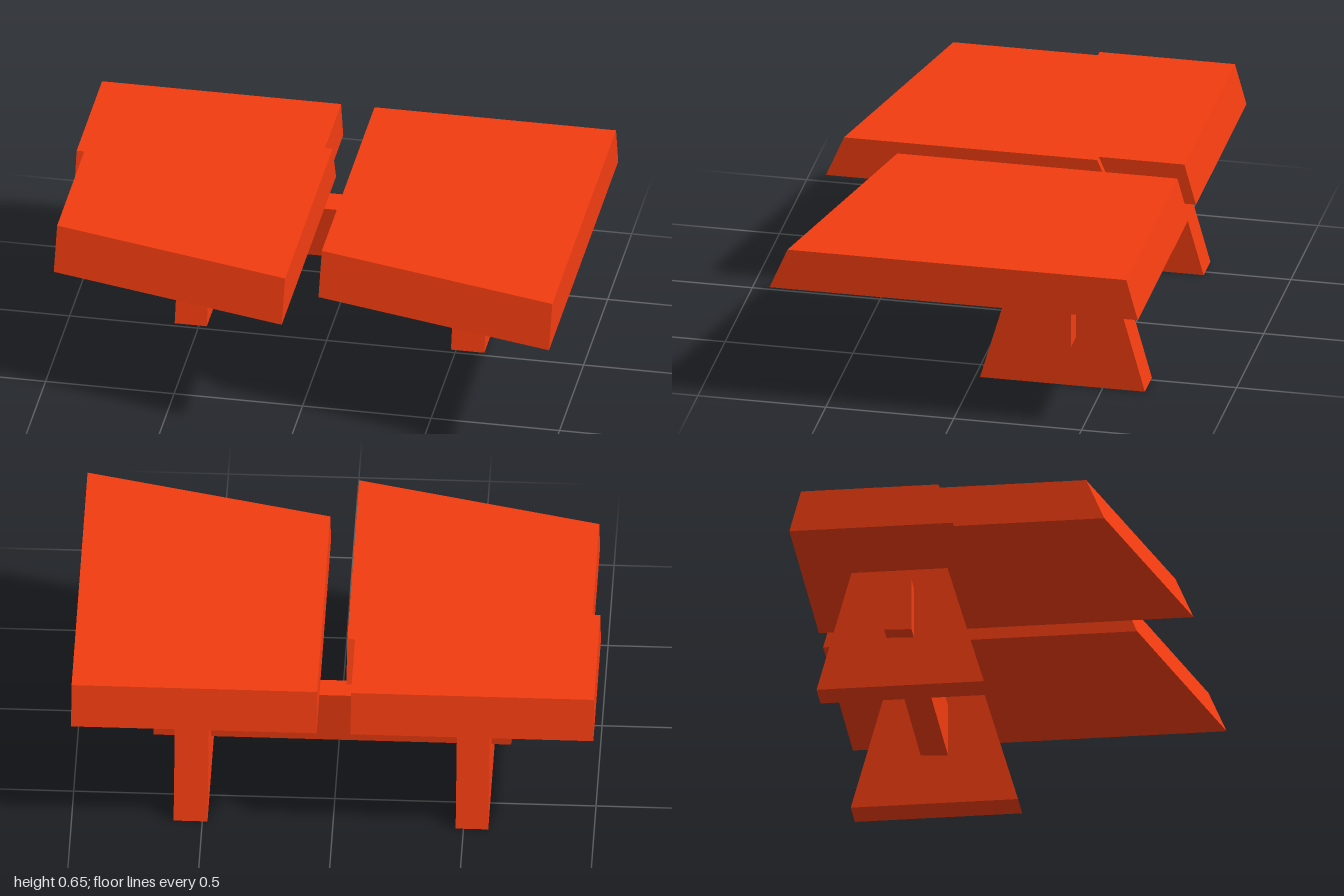
import * as THREE from 'three';

const material = new THREE.MeshStandardMaterial({ color: 0xf23c10, flatShading: true });

// Solid between two matching outlines of [x, y, z] corners, counterclockwise seen from above
function loft(name, bottom, top) {
  const positions = [];
  const tri = (a, b, c) => positions.push(...a, ...b, ...c);
  const flat = top.map(([x, , z]) => new THREE.Vector2(x, -z));
  for (const [a, b, c] of THREE.ShapeUtils.triangulateShape(flat, [])) {
    tri(top[a], top[b], top[c]);
    tri(bottom[c], bottom[b], bottom[a]);
  }
  bottom.forEach((p, i) => {
    const j = (i + 1) % bottom.length;
    tri(p, bottom[j], top[j]);
    tri(p, top[j], top[i]);
  });
  const geometry = new THREE.BufferGeometry();
  geometry.setAttribute('position', new THREE.Float32BufferAttribute(positions, 3));
  geometry.computeVertexNormals();
  const mesh = new THREE.Mesh(geometry, material);
  mesh.name = name;
  return mesh;
}

const atHeight = (y, outline) => outline.map(([x, z]) => [x, y, z]);
const rect = (x0, x1, zBack, zFront) => [[x0, zFront], [x1, zFront], [x1, zBack], [x0, zBack]];

const SLAB_BOTTOM = 0.485, SLAB_TOP = 0.65;

export function createModel() {
  const group = new THREE.Group();
  group.name = 'splitTable';

  // Left slab: slanted front edge and bevelled ends
  const leftOutline = (inset, back) => [
    [0.06, 0.49 - inset], [1, 0.72 - inset], [1, back], [0.06, back],
  ];
  group.add(loft('leftSlab',
    atHeight(SLAB_BOTTOM, leftOutline(0, -0.72)),
    atHeight(SLAB_TOP, leftOutline(0.07, -0.675))));

  // Right slab: its rear half is shifted sideways, leaving a small step on each side
  const rightOutline = (inset, back, outerStep, innerStep) => [
    [-0.97, 0.49 - inset], [-0.04, 0.72 - inset],
    [-0.04, innerStep], [-0.07, innerStep], [-0.07, back],
    [-1, back], [-1, outerStep], [-0.97, outerStep],
  ];
  group.add(loft('rightSlab',
    atHeight(SLAB_BOTTOM, rightOutline(0, -0.72, -0.09, -0.41)),
    atHeight(SLAB_TOP, rightOutline(0.07, -0.675, -0.145, -0.34))));

  // Tapered legs
  for (const [name, x0, x1] of [['rightLeg', -0.595, -0.47], ['leftLeg', 0.48, 0.61]]) {
    group.add(loft(name,
      atHeight(0, rect(x0, x1, -0.665, -0.02)),
      atHeight(SLAB_BOTTOM, rect(x0, x1, -0.53, -0.16))));
  }

  // Crossbeam through both legs, slightly out of square
  const beam = rect(-0.67, 0.7, -0.395, -0.29);
  group.add(loft('crossbeam',
    beam.map(([x, z]) => [x, z < -0.35 ? 0.204 : 0.2, z]),
    beam.map(([x, z]) => [x, z < -0.35 ? 0.418 : 0.41, z])));

  return group;
}
